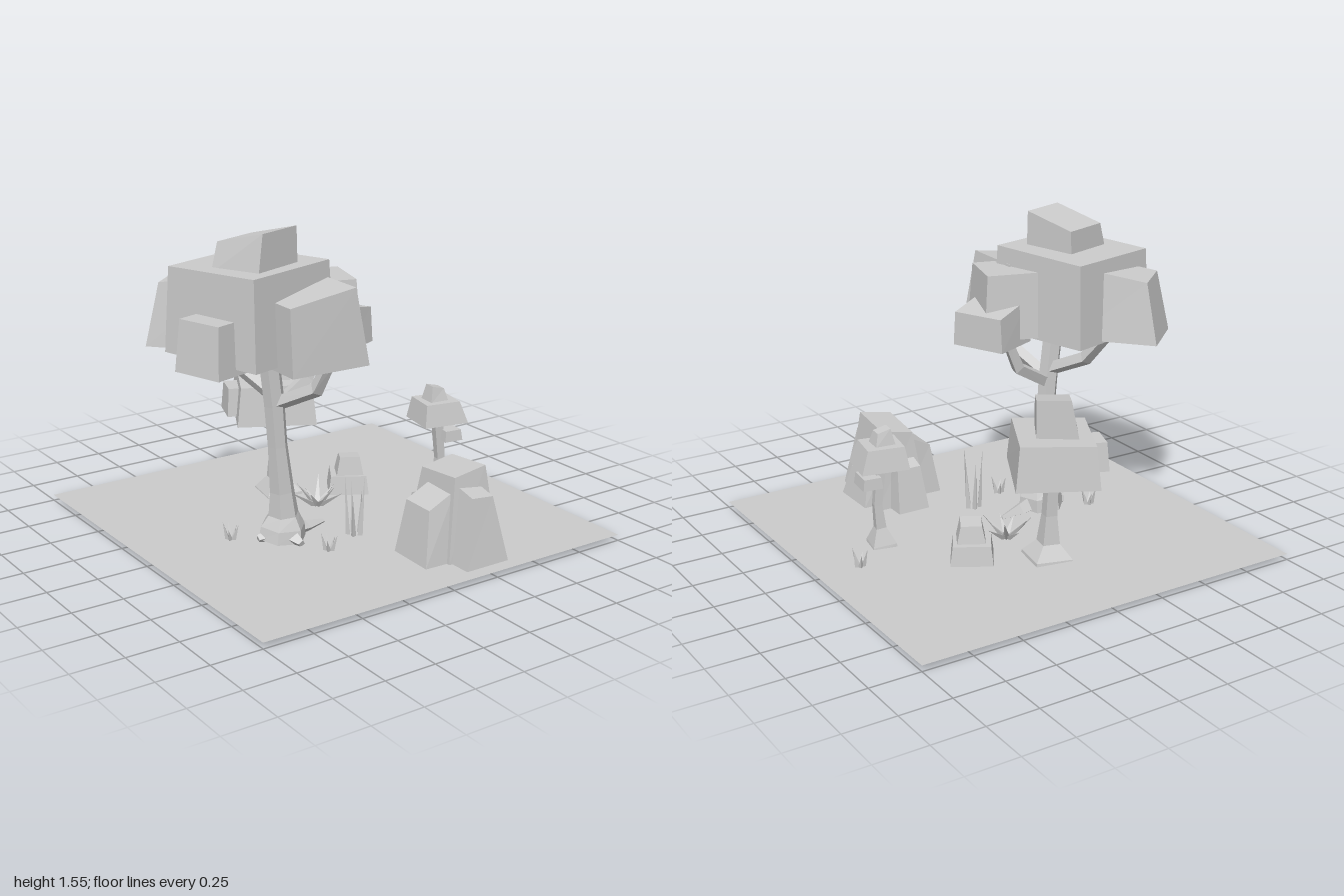
import * as THREE from 'three';

const material = new THREE.MeshStandardMaterial({ color: 0xcccccc, flatShading: true });
const GROUND = 0.025;

// Tapered box: footprint centre and size, height range, optional smaller, shifted, sloping top
function block(name, [x, z], [w, d], y0, y1, { top = [w, d], shift = [0, 0], slope = [0, 0], turn = 0 } = {}) {
  const geo = new THREE.BoxGeometry(1, 1, 1);
  const p = geo.attributes.position;
  for (let i = 0; i < p.count; i++) {
    const up = p.getY(i) > 0;
    const px = p.getX(i) * (up ? top[0] : w) + (up ? shift[0] : 0);
    const pz = p.getZ(i) * (up ? top[1] : d) + (up ? shift[1] : 0);
    p.setXYZ(i, px, up ? y1 + px * slope[0] + pz * slope[1] : y0, pz);
  }
  geo.computeVertexNormals();
  const mesh = new THREE.Mesh(geo, material);
  mesh.name = name;
  mesh.position.set(x, 0, z);
  mesh.rotation.y = turn;
  return mesh;
}

// Faceted limb lofted through rings given as [x, y, z, radius]
function limb(name, rings, sides, turn = 0) {
  const up = new THREE.Vector3(0, 1, 0);
  const pts = rings.map(r => new THREE.Vector3(r[0], r[1], r[2]));
  const pos = [], idx = [];
  pts.forEach((c, i) => {
    const dir = pts[Math.min(i + 1, pts.length - 1)].clone().sub(pts[Math.max(i - 1, 0)]).normalize();
    if (i === 0) dir.copy(pts[1]).sub(c).normalize();
    const q = new THREE.Quaternion().setFromUnitVectors(up, dir);
    for (let s = 0; s < sides; s++) {
      const a = turn + s / sides * Math.PI * 2;
      const v = new THREE.Vector3(Math.sin(a), 0, Math.cos(a)).multiplyScalar(rings[i][3]);
      pos.push(...v.applyQuaternion(q).add(c).toArray());
      if (i > 0) {
        const a0 = (i - 1) * sides + s, b0 = (i - 1) * sides + (s + 1) % sides;
        idx.push(a0, b0, b0 + sides, a0, b0 + sides, a0 + sides);
      }
    }
  });
  const last = (rings.length - 1) * sides;
  for (let s = 1; s < sides - 1; s++) idx.push(0, s + 1, s, last, last + s, last + s + 1);
  const geo = new THREE.BufferGeometry();
  geo.setAttribute('position', new THREE.Float32BufferAttribute(pos, 3));
  geo.setIndex(idx);
  const flat = geo.toNonIndexed();
  flat.computeVertexNormals();
  const mesh = new THREE.Mesh(flat, material);
  mesh.name = name;
  return mesh;
}

// Clump of three-sided spikes leaning outwards
function tuft(name, x, z, count, length, lean, radius, spread) {
  const g = new THREE.Group();
  g.name = name;
  for (let i = 0; i < count; i++) {
    const l = length * (1 - 0.3 * ((i * 2) % 3) / 2);
    const geo = new THREE.ConeGeometry(radius, l, 3).translate(0, l / 2, 0);
    geo.rotateX(lean * (i % 2 ? 0.75 : 1));
    geo.translate(0, 0, spread).rotateY(i / count * Math.PI * 2 + 0.4);
    const blade = new THREE.Mesh(geo, material);
    blade.name = 'blade';
    g.add(blade);
  }
  g.position.set(x, GROUND, z);
  return g;
}

function group(name, ...parts) {
  const g = new THREE.Group();
  g.name = name;
  g.add(...parts);
  return g;
}

export function createModel() {
  const ground = new THREE.Mesh(new THREE.PlaneGeometry(2, 2).rotateX(-Math.PI / 2),
    new THREE.MeshStandardMaterial({ color: 0xcccccc, flatShading: true, side: THREE.DoubleSide }));
  ground.name = 'ground';
  ground.position.y = GROUND;

  // Tall tree with branches, roots and a canopy of overlapping blocks
  const bigTree = group('bigTree',
    limb('trunk', [[-0.34, GROUND, 0.12, 0.12], [-0.335, 0.09, 0.12, 0.11], [-0.335, 0.15, 0.125, 0.075],
      [-0.345, 0.27, 0.13, 0.06], [-0.37, 0.5, 0.135, 0.048], [-0.385, 0.7, 0.135, 0.05], [-0.42, 1.0, 0.135, 0.05]], 6, 0.3),
    limb('rightRoot', [[-0.3, 0.05, 0.12, 0.055], [-0.19, 0.035, 0.1, 0.035], [-0.07, 0.03, 0.07, 0.012]], 4),
    limb('frontRoot', [[-0.34, 0.06, 0.14, 0.06], [-0.32, 0.035, 0.26, 0.02]], 4),
    limb('leftRoot', [[-0.36, 0.06, 0.12, 0.06], [-0.46, 0.035, 0.1, 0.02]], 4),
    limb('sideBranch', [[-0.38, 0.68, 0.13, 0.035], [-0.19, 0.79, 0.11, 0.036], [-0.1, 0.99, 0.1, 0.028]], 4, 0.6),
    limb('frontBranch', [[-0.38, 0.7, 0.13, 0.035], [-0.31, 0.82, 0.37, 0.036], [-0.28, 0.97, 0.44, 0.028]], 4, 0.6),
    limb('backBranch', [[-0.39, 0.75, 0.12, 0.035], [-0.45, 0.85, -0.09, 0.036], [-0.5, 1.02, -0.23, 0.028]], 4, 0.6),
    block('mainCanopy', [-0.475, 0.075], [0.53, 0.56], 0.96, 1.37,
      { top: [0.5, 0.52], slope: [0.01, 0.03], turn: 0.27 }),
    block('topCanopy', [-0.48, 0.13], [0.28, 0.27], 1.34, 1.51,
      { top: [0.24, 0.26], shift: [0.02, 0], slope: [0, 0.25], turn: 0.33 }),
    block('frontCanopy', [-0.32, 0.33], [0.4, 0.37], 0.94, 1.28,
      { top: [0.34, 0.33], shift: [-0.03, 0], slope: [0.15, 0], turn: -0.03 }),
    block('frontSideCanopy', [-0.15, 0.17], [0.29, 0.31], 0.97, 1.29,
      { top: [0.25, 0.27], turn: -0.28 }),
    block('lowSideCanopy', [-0.05, 0.125], [0.25, 0.28], 0.94, 1.13,
      { top: [0.25, 0.26], slope: [-0.2, 0], turn: 0.42 }),
    block('farSideCanopy', [-0.7, 0.17], [0.28, 0.26], 0.93, 1.17,
      { top: [0.24, 0.23], turn: 0.3 }),
    block('backCanopy', [-0.6, -0.165], [0.3, 0.42], 0.97, 1.29,
      { top: [0.24, 0.34], shift: [0, 0.02], slope: [0, 0.15], turn: 0.72 }));

  // Medium tree
  const mediumTree = group('mediumTree',
    limb('trunk', [[-0.02, 0, -0.41, 0.14], [-0.02, 0.035, -0.41, 0.13], [-0.025, 0.1, -0.41, 0.06],
      [-0.03, 0.24, -0.41, 0.04], [-0.04, 0.48, -0.415, 0.035]], 4, 0.6),
    block('lowerCanopy', [-0.04, -0.42], [0.39, 0.46], 0.45, 0.655,
      { top: [0.35, 0.42], slope: [0.03, -0.03], turn: -0.48 }),
    block('upperCanopy', [-0.06, -0.42], [0.2, 0.22], 0.64, 0.82,
      { top: [0.16, 0.2], shift: [0.02, -0.01], slope: [0, -0.2], turn: -0.55 }),
    block('sideCanopy', [-0.21, -0.48], [0.14, 0.17], 0.47, 0.61,
      { top: [0.12, 0.14], turn: -0.35 }));

  // Small tree
  const smallTree = group('smallTree',
    limb('trunk', [[0.575, 0, 0.135, 0.09], [0.575, 0.04, 0.135, 0.082], [0.585, 0.12, 0.13, 0.035],
      [0.597, 0.24, 0.13, 0.028], [0.575, 0.46, 0.13, 0.032]], 4, 0.6),
    block('canopy', [0.583, 0.122], [0.235, 0.215], 0.44, 0.55,
      { top: [0.18, 0.17], shift: [-0.01, 0], turn: -0.19 }),
    block('cap', [0.568, 0.12], [0.1, 0.095], 0.545, 0.618,
      { top: [0.065, 0.06], slope: [-0.25, 0], turn: -0.1 }),
    block('lowLeaf', [0.635, 0.14], [0.1, 0.13], 0.34, 0.395, { top: [0.085, 0.12], turn: -0.12 }));

  // Large rock: a tall core with four lower shoulders
  const rock = group('rock',
    block('rockCore', [0.26, 0.655], [0.28, 0.35], GROUND, 0.425,
      { top: [0.17, 0.26], slope: [0.18, 0.1], turn: -0.05 }),
    block('rockFarSide', [0.1, 0.68], [0.2, 0.25], GROUND, 0.31,
      { top: [0.14, 0.18], shift: [0.015, -0.01], slope: [0.5, 0], turn: -0.04 }),
    block('rockNearSide', [0.37, 0.68], [0.15, 0.25], GROUND, 0.2,
      { top: [0.1, 0.17], shift: [-0.01, -0.01], slope: [-0.35, 0] }),
    block('rockBack', [0.25, 0.5], [0.17, 0.22], GROUND, 0.265,
      { top: [0.13, 0.14], shift: [0, 0.01], slope: [0, 0.4] }),
    block('rockFront', [0.25, 0.83], [0.24, 0.2], GROUND, 0.355,
      { top: [0.12, 0.12], shift: [0, -0.01], slope: [-0.1, -0.25] }));

  // Pair of stacked stones
  const stones = group('stones',
    block('lowerStone', [0.29, -0.235], [0.21, 0.2], 0, 0.12, { top: [0.18, 0.17], turn: -0.55 }),
    block('upperStone', [0.29, -0.225], [0.14, 0.13], 0.11, 0.21,
      { top: [0.1, 0.1], slope: [0, 0.1], turn: -0.5 }));

  const model = group('woodland', ground, bigTree, mediumTree, smallTree, rock, stones);

  // Grass tufts, tall reeds and a star-shaped plant
  [[-0.55, 0], [-0.24, 0.37], [0.78, -0.03]].forEach(([x, z]) =>
    model.add(tuft('grass', x, z, 5, 0.09, 0.35, 0.013, 0.015)));
  model.add(tuft('reeds', -0.03, 0.28, 5, 0.31, 0.08, 0.014, 0.03));
  model.add(tuft('starPlant', 0.03, -0.13, 9, 0.17, 1.0, 0.018, 0.005));
  return model;
}
